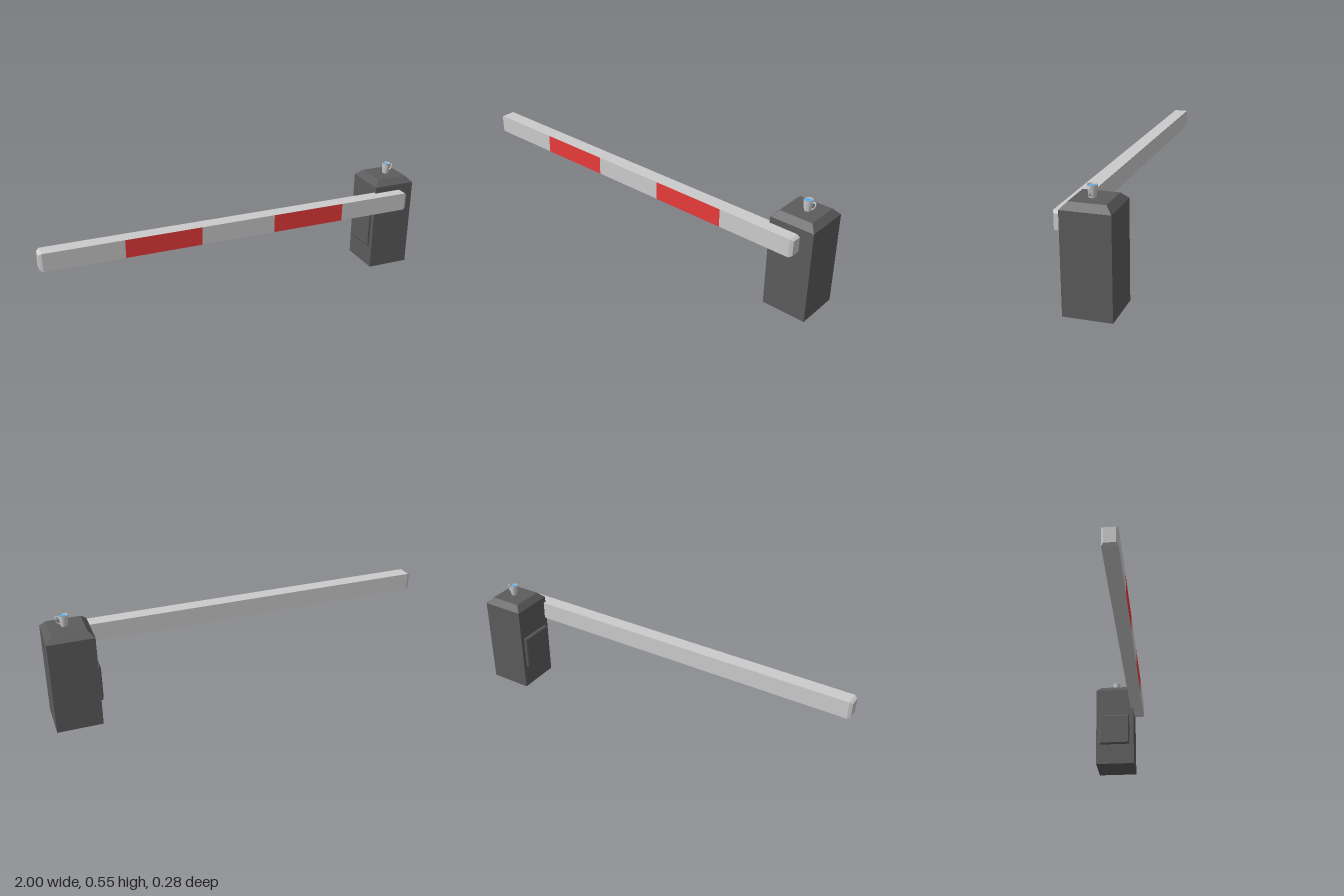
import * as THREE from 'three';

const grey = new THREE.MeshStandardMaterial({ color: 0xcccccc });
const greyOpen = new THREE.MeshStandardMaterial({ color: 0xcccccc, side: THREE.DoubleSide });
const dark = new THREE.MeshStandardMaterial({ color: 0x5c5c5c });
const red = new THREE.MeshStandardMaterial({ color: 0xe93a3a });
const blue = new THREE.MeshStandardMaterial({ color: 0x60aee8 });

// Closed block lofted through rectangles [height, width, depth], flat shaded
function rectLoft(sections) {
  const rings = sections.map(([y, w, d]) => [
    [-w / 2, y, d / 2], [w / 2, y, d / 2], [w / 2, y, -d / 2], [-w / 2, y, -d / 2],
  ]);
  const pos = [];
  const quad = (a, b, c, d) => pos.push(...a, ...b, ...c, ...a, ...c, ...d);
  for (let i = 0; i < rings.length - 1; i++) {
    const lo = rings[i], hi = rings[i + 1];
    for (let k = 0; k < 4; k++) {
      const n = (k + 1) % 4;
      quad(lo[k], lo[n], hi[n], hi[k]);
    }
  }
  const top = rings[rings.length - 1], base = rings[0];
  quad(top[0], top[1], top[2], top[3]);
  quad(base[3], base[2], base[1], base[0]);
  const geo = new THREE.BufferGeometry();
  geo.setAttribute('position', new THREE.Float32BufferAttribute(pos, 3));
  geo.computeVertexNormals();
  return geo;
}

function add(parent, name, geo, mat, x = 0, y = 0, z = 0) {
  const mesh = new THREE.Mesh(geo, mat);
  mesh.name = name;
  mesh.position.set(x, y, z);
  parent.add(mesh);
  return mesh;
}

export function createModel() {
  const model = new THREE.Group();
  model.name = 'barrierGate';

  // Cabinet with chamfered top
  add(model, 'cabinet', rectLoft([
    [0, 0.223, 0.223], [0.467, 0.223, 0.223], [0.497, 0.164, 0.164],
  ]), dark, 0.8885, 0, -0.0285);

  // Service door on the side of the cabinet
  const door = rectLoft([[-0.005, 0.18, 0.176], [0.011, 0.18, 0.176], [0.016, 0.166, 0.162]]);
  door.rotateZ(Math.PI / 2);
  add(model, 'serviceDoor', door, dark, 0.777, 0.21, -0.03);

  // Boom with tapered ends
  const boom = rectLoft([
    [-0.9675, 0.074, 0.054], [-0.9525, 0.092, 0.072],
    [0.9525, 0.092, 0.072], [0.9675, 0.074, 0.054],
  ]);
  boom.rotateZ(Math.PI / 2);
  add(model, 'boom', boom, grey, -0.0325, 0.389, 0.104);

  // Warning stripes on the front of the boom
  for (const x of [-0.409, 0.355]) {
    add(model, 'warningStripe', new THREE.PlaneGeometry(0.381, 0.092), red, x, 0.389, 0.1406);
  }

  // Cup standing on the cabinet
  const cup = new THREE.Group();
  cup.name = 'cup';
  cup.position.set(0.897, 0.497, -0.025);
  model.add(cup);
  const profile = [
    [0, 0], [0.014, 0], [0.0165, 0.003], [0.0225, 0.056], [0.0195, 0.056], [0.0175, 0.04],
  ].map(([r, y]) => new THREE.Vector2(r, y));
  add(cup, 'cupBody', new THREE.LatheGeometry(profile, 32), greyOpen);

  const drink = new THREE.CircleGeometry(0.019, 32);
  drink.rotateX(-Math.PI / 2);
  add(cup, 'drink', drink, blue, 0, 0.051, 0);

  // Ear-shaped flat handle
  const ear = new THREE.Shape();
  ear.moveTo(0.018, 0.051);
  ear.lineTo(0.036, 0.051);
  ear.quadraticCurveTo(0.041, 0.049, 0.039, 0.041);
  ear.quadraticCurveTo(0.036, 0.016, 0.018, 0.01);
  ear.lineTo(0.018, 0.015);
  ear.quadraticCurveTo(0.032, 0.021, 0.035, 0.04);
  ear.quadraticCurveTo(0.036, 0.046, 0.033, 0.046);
  ear.lineTo(0.018, 0.046);
  ear.closePath();
  add(cup, 'cupHandle', new THREE.ExtrudeGeometry(ear, {
    depth: 0.006, bevelEnabled: false, curveSegments: 8,
  }), grey, 0, 0, -0.003);

  return model;
}
